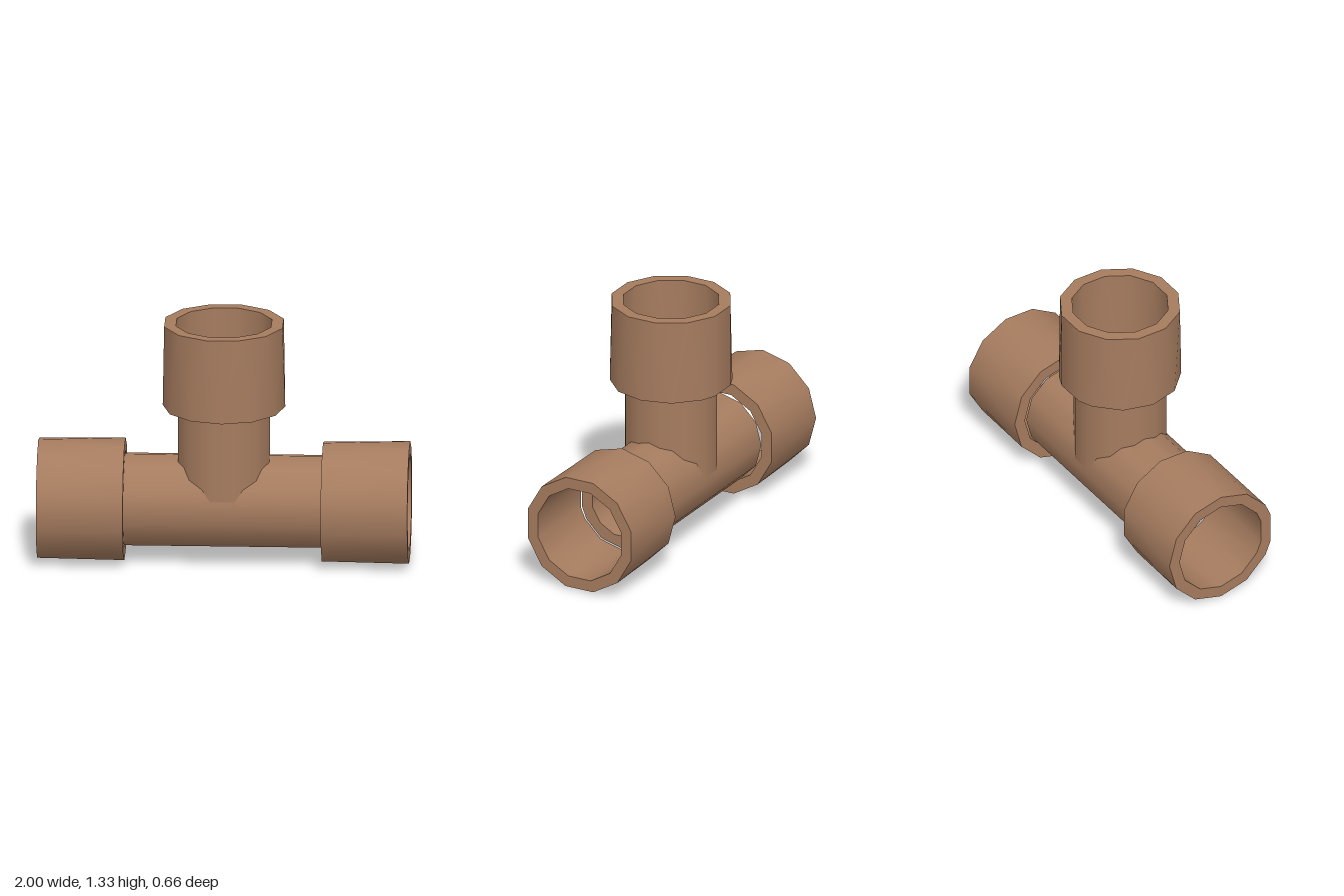
import * as THREE from 'three';
import { mergeGeometries } from 'three/addons/utils/BufferGeometryUtils.js';

const rad = THREE.MathUtils.degToRad;

// Twelve-sided rings: one with flats on the axes, one with corners on the axes
// (its -z corner is cut off).
const FLAT = Array.from({ length: 12 }, (_, k) => 15 + 30 * k);
const CORNER = [0, 30, 60, 90, 120, 150, 180, 210, 240, 255, 285, 300, 330];

// Smooth wall between a lower and an upper ring, whose corners may be staggered
function wall(r, lower, upper, y0, y1, inward) {
  const pos = [], nor = [];
  const angle = (ring, i) => ring[i % ring.length] + (i >= ring.length ? 360 : 0);
  const put = (ring, i, y) => {
    const a = rad(angle(ring, i)), s = inward ? -1 : 1;
    pos.push(r * Math.cos(a), y, r * Math.sin(a));
    nor.push(s * Math.cos(a), 0, s * Math.sin(a));
  };
  let i = 0, j = 0;
  while (i < lower.length || j < upper.length) {
    const stepLower = j >= upper.length ||
      (i < lower.length && angle(lower, i + 1) <= angle(upper, j + 1));
    const tri = [[lower, i, y0], [upper, j, y1],
      stepLower ? [lower, i + 1, y0] : [upper, j + 1, y1]];
    if (inward) tri.reverse();
    tri.forEach((p) => put(...p));
    if (stepLower) i++; else j++;
  }
  const g = new THREE.BufferGeometry();
  g.setAttribute('position', new THREE.Float32BufferAttribute(pos, 3));
  g.setAttribute('normal', new THREE.Float32BufferAttribute(nor, 3));
  return g;
}

// Flat annular rim, facing up or down
function rim(rOut, outRing, rIn, inRing, y, up) {
  const s = up ? -1 : 1;
  const points = (r, ring) => ring.map((d) =>
    new THREE.Vector2(r * Math.cos(rad(d)), s * r * Math.sin(rad(d))));
  const shape = new THREE.Shape(points(rOut, outRing));
  shape.holes.push(new THREE.Path(points(rIn, inRing)));
  const g = new THREE.ShapeGeometry(shape).toNonIndexed();
  g.deleteAttribute('uv');
  return g.rotateX(s * Math.PI / 2).translate(0, y, 0);
}

// Hollow tube along y; each ring list gives [lower, upper]
function tube(rOut, out, rIn, inn, y0, y1) {
  return mergeGeometries([
    wall(rOut, out[0], out[1], y0, y1, false),
    wall(rIn, inn[0], inn[1], y0, y1, true),
    rim(rOut, out[0], rIn, inn[0], y0, false),
    rim(rOut, out[1], rIn, inn[1], y1, true),
  ]);
}

export function createModel() {
  const model = new THREE.Group();
  model.name = 'pipeTee';
  const brown = new THREE.MeshStandardMaterial({ color: 0xa67c5f });
  brown.name = 'brown';
  const axisY = 0.33;

  const add = (name, geometry, lying) => {
    const mesh = new THREE.Mesh(geometry, brown);
    mesh.name = name;
    if (lying) {
      mesh.rotation.set(Math.PI, 0, -Math.PI / 2); // tube axis to +x
      mesh.position.y = axisY;
    }
    model.add(mesh);
  };

  const socket = (a, b) =>
    tube(0.33, [CORNER, FLAT], 0.265, [CORNER, FLAT], a, b);

  // Straight run and branch pipe
  add('mainPipe', tube(0.255, [CORNER, CORNER], 0.19, [FLAT, FLAT], -0.535, 0.535), true);
  add('branchPipe', tube(0.255, [FLAT, FLAT], 0.19, [FLAT, FLAT], axisY, 0.867), false);

  // Wider sockets on the three ends
  add('leftSocket', socket(0.533, 1), true);
  add('rightSocket', socket(-1, -0.533), true);
  add('topSocket', socket(0.865, 1.333), false);

  return model;
}
